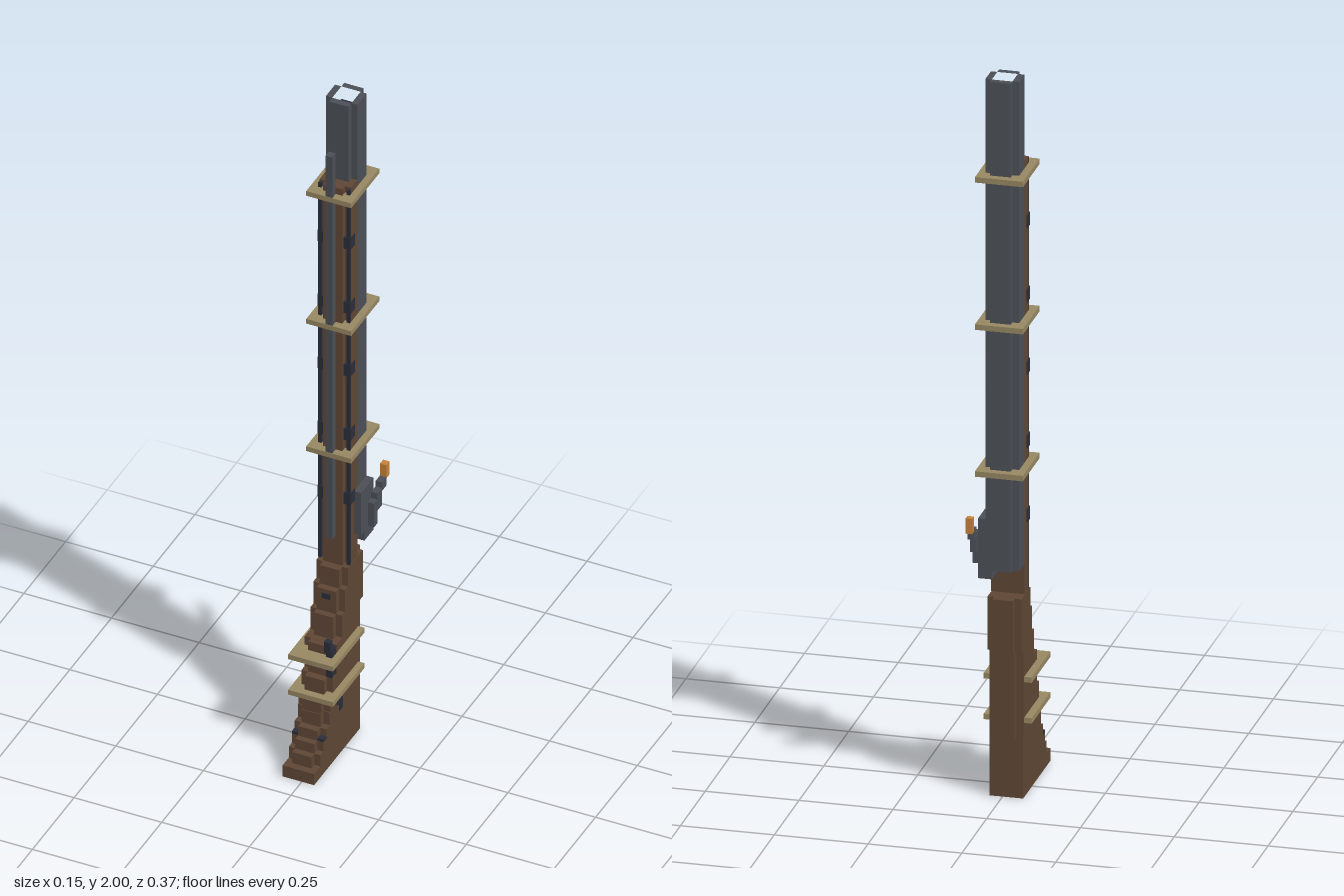
import * as THREE from 'three';

const material = (name, color) => {
  const m = new THREE.MeshStandardMaterial({ color });
  m.name = name;
  return m;
};

export function createModel() {
  const model = new THREE.Group();
  model.name = 'musket';
  const wood = material('wood', 0x5e4634);
  const steel = material('steel', 0x4b4f56);
  const dark = material('dark iron', 0x2b2e3a);
  const brass = material('brass', 0x968762);
  const copper = material('copper', 0xc4823a);

  const group = (name) => {
    const g = new THREE.Group();
    g.name = name;
    model.add(g);
    return g;
  };
  // Box given by its limits on each axis
  const box = (parent, name, mat, [x0, x1], [y0, y1], [z0, z1]) => {
    const mesh = new THREE.Mesh(new THREE.BoxGeometry(x1 - x0, y1 - y0, z1 - z0), mat);
    mesh.position.set((x0 + x1) / 2, (y0 + y1) / 2, (z0 + z1) / 2);
    mesh.name = name;
    parent.add(mesh);
    return mesh;
  };
  // Upright prism from an outline of [x, z] points, with an optional hole
  const prism = (parent, name, mat, outline, y0, y1, hole) => {
    const toPoints = (pts) => pts.map(([x, z]) => new THREE.Vector2(x, -z));
    const shape = new THREE.Shape(toPoints(outline));
    if (hole) shape.holes.push(new THREE.Path(toPoints(hole)));
    const geo = new THREE.ExtrudeGeometry(shape, { depth: y1 - y0, bevelEnabled: false });
    geo.rotateX(-Math.PI / 2);
    const mesh = new THREE.Mesh(geo, mat);
    mesh.position.y = y0;
    mesh.name = name;
    parent.add(mesh);
  };

  const wide = [-0.055, 0.035];
  const narrow = [-0.037, 0.018];

  // Barrel: stepped octagon, hollow at the muzzle
  const barrel = group('barrel');
  prism(barrel, 'barrelTube', steel, [
    [-0.055, -0.13], [-0.037, -0.13], [-0.037, -0.147], [0.018, -0.147],
    [0.018, -0.13], [0.035, -0.13], [0.035, -0.075], [0.018, -0.075],
    [0.018, -0.057], [-0.037, -0.057], [-0.037, -0.075], [-0.055, -0.075],
  ], 0.645, 2, [[-0.037, -0.13], [0.018, -0.13], [0.018, -0.075], [-0.037, -0.075]]);
  box(barrel, 'bore', dark, narrow, [0.646, 1.96], [-0.13, -0.075]);

  // Fore-stock with notched front corners
  const foreStock = group('foreStock');
  box(foreStock, 'foreStockBack', wood, wide, [0.56, 1.76], [-0.0745, -0.037]);
  box(foreStock, 'foreStockFront', wood, narrow, [0.56, 1.76], [-0.037, -0.02]);

  // Dark edge strips and clips along both sides
  const fittings = group('foreStockFittings');
  for (const s of [-1, 1]) {
    const span = (a, b) => [-0.01 + s * a, -0.01 + s * b].sort((p, q) => p - q);
    box(fittings, 'edgeStrip', dark, span(0.036, 0.045), [0.56, 1.755], [-0.037, -0.029]);
    for (const y of [0.77, 0.975, 1.18, 1.38, 1.585])
      box(fittings, 'clip', dark, span(0.028, 0.047), [y - 0.018, y + 0.018], [-0.056, -0.028]);
  }

  // Ramrod
  box(model, 'ramrod', steel, [-0.02, -0.001], [0.65, 1.87], [-0.02, 0]);

  // Butt: stacked levels, [bottom, top, back, front]
  const butt = group('buttStock');
  const levels = [
    [0.035, 0.07, -0.09, 0.165], [0.07, 0.1, -0.09, 0.147], [0.1, 0.13, -0.09, 0.13],
    [0.13, 0.17, -0.09, 0.11], [0.17, 0.22, -0.107, 0.107], [0.22, 0.265, -0.107, 0.09],
    [0.265, 0.33, -0.107, 0.07], [0.33, 0.36, -0.107, 0.07], [0.36, 0.41, -0.107, 0.035],
    [0.41, 0.43, -0.125, 0.035], [0.43, 0.5, -0.125, 0.018], [0.5, 0.558, -0.125, 0],
  ];
  box(butt, 'buttPlate', wood, wide, [0, 0.035], [-0.09, 0.185]);
  for (const [y0, y1, back, front] of levels) {
    const inset = y0 < 0.17 ? 0 : 0.018;
    box(butt, 'buttSide', wood, wide, [y0, y1], [back + inset, front - 0.018]);
    box(butt, 'buttRidge', wood, narrow, [y0, y1], [back, front]);
  }
  // Dark corner inlays on the butt step
  for (const x of [[-0.055, -0.037], [0.018, 0.035]])
    box(butt, 'cornerInlay', dark, x, [0.1, 0.108], [0.112, 0.129]);

  // Bands around barrel and butt
  const bands = group('bands');
  for (const y of [0.918, 1.325, 1.733])
    box(bands, 'barrelBand', brass, [-0.075, 0.053], [y - 0.0075, y + 0.0075], [-0.168, 0.001]);
  for (const y of [0.213, 0.326])
    box(bands, 'buttBand', brass, [-0.075, 0.053], [y - 0.0075, y + 0.0075], [-0.08, 0.11]);

  // Lock plate, hammer and flint
  const lock = group('lock');
  box(lock, 'lockPlate', steel, [0.034, 0.055], [0.645, 0.78], [-0.13, -0.055]);
  box(lock, 'lockPlateFoot', steel, [0.018, 0.055], [0.615, 0.645], [-0.13, -0.075]);
  for (const [y0, y1, z0, z1] of [[0.65, 0.725, -0.115, -0.095], [0.69, 0.745, -0.142, -0.115], [0.735, 0.762, -0.168, -0.142]])
    box(lock, 'hammer', steel, [0.055, 0.073], [y0, y1], [z0, z1]);
  box(lock, 'flint', copper, [0.055, 0.073], [0.758, 0.8], [-0.187, -0.168]);

  // Trigger and small iron pieces on the butt
  const trigger = group('trigger');
  box(trigger, 'triggerTip', dark, [0.018, 0.035], [0.355, 0.39], [0.074, 0.091]);
  box(trigger, 'triggerArm', dark, [0.018, 0.035], [0.27, 0.358], [0.05, 0.078]);
  for (const [y0, y1, z0, z1] of [[0.165, 0.2, 0.035, 0.05], [0.14, 0.175, 0.018, 0.035]])
    box(trigger, 'triggerSpring', dark, [0.03, 0.038], [y0, y1], [z0, z1]);
  box(trigger, 'ridgePin', dark, [-0.022, 0.002], [0.472, 0.488], [0.01, 0.021]);

  return model;
}
